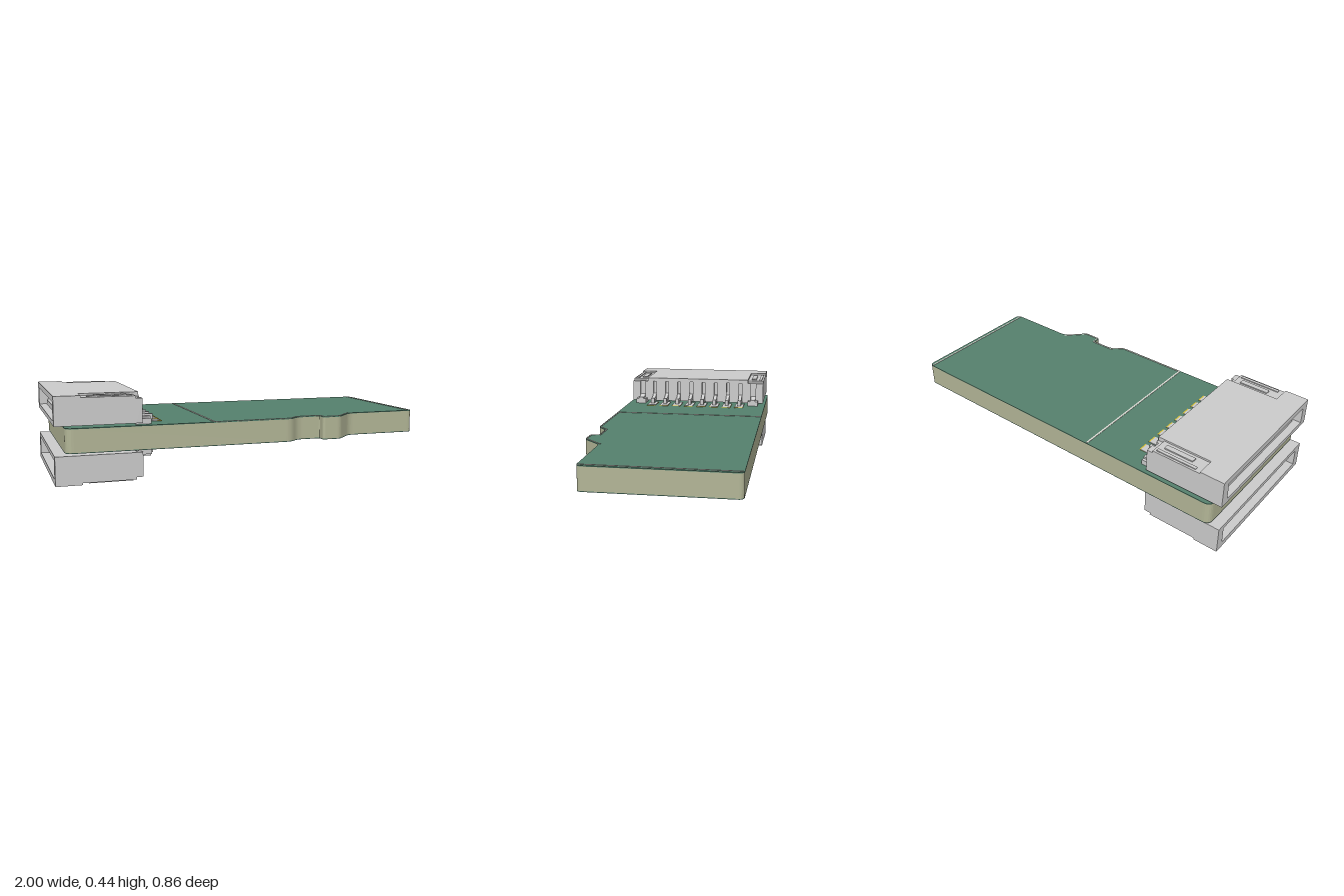
import * as THREE from 'three';

const mat = (color) => new THREE.MeshStandardMaterial({ color });
const GREY = mat(0xcccccc), CORE = mat(0xb2b596), MASK = mat(0x55806d);
const INK = mat(0xdcdcd4), GOLD = mat(0xd8c030);
const PIN_Z = Array.from({ length: 8 }, (_, i) => (i - 3.5) * 0.0783);

// box given by its minimum and maximum on each axis
function box(parent, name, x0, x1, y0, y1, z0, z1, material = GREY) {
  const mesh = new THREE.Mesh(new THREE.BoxGeometry(x1 - x0, y1 - y0, z1 - z0), material);
  mesh.position.set((x0 + x1) / 2, (y0 + y1) / 2, (z0 + z1) / 2);
  mesh.name = name;
  parent.add(mesh);
  return mesh;
}

// polygon of [x, z, corner radius] points, rounded at the corners
function roundedShape(points) {
  const shape = new THREE.Shape();
  points.forEach(([x, z, r], i) => {
    const n = points.length;
    const p = new THREE.Vector2(x, -z);
    const toward = (q) => new THREE.Vector2(q[0], -q[1]).sub(p).setLength(r).add(p);
    const a = toward(points[(i + n - 1) % n]), b = toward(points[(i + 1) % n]);
    if (i === 0) shape.moveTo(a.x, a.y); else shape.lineTo(a.x, a.y);
    if (r > 0) shape.quadraticCurveTo(p.x, p.y, b.x, b.y);
  });
  shape.closePath();
  return shape;
}

// horizontal plate between two heights
function plate(parent, name, shape, y0, y1, material = GREY) {
  const geo = new THREE.ExtrudeGeometry(shape, { depth: y1 - y0, bevelEnabled: false, curveSegments: 6 });
  geo.rotateX(-Math.PI / 2);
  const mesh = new THREE.Mesh(geo, material);
  mesh.position.y = y0;
  mesh.name = name;
  parent.add(mesh);
}

function createBoard() {
  const board = new THREE.Group();
  board.name = 'circuitBoard';
  const outline = roundedShape([
    [-0.95, -0.43, 0.04], [1, -0.43, 0.03], [1, 0.325, 0.03], [0.6, 0.325, 0.03],
    [0.5, 0.425, 0.02], [0.4, 0.425, 0.015], [0.4, 0.38, 0.008], [0.27, 0.38, 0.03],
    [0.215, 0.43, 0.03], [-0.95, 0.43, 0.04],
  ]);
  plate(board, 'boardCore', outline, 0.162, 0.276, CORE);
  plate(board, 'topMask', outline, 0.276, 0.28, MASK);
  plate(board, 'bottomMask', outline, 0.158, 0.162, MASK);

  // printed lines on the top
  box(board, 'crossLine', -0.208, -0.198, 0.28, 0.282, -0.425, 0.425, INK);
  box(board, 'endLine', 0.974, 0.982, 0.28, 0.282, -0.425, 0.32, INK);
  const edge = [[-0.2, 0.422], [0.21, 0.422], [0.265, 0.372], [0.405, 0.372], [0.408, 0.418], [0.495, 0.418], [0.596, 0.318], [0.98, 0.318]];
  for (let i = 0; i < 6; i++) {
    const [x0, z0] = edge[i], [x1, z1] = edge[i + 1];
    const length = Math.hypot(x1 - x0, z1 - z0);
    const line = box(board, 'edgeLine', 0, length, 0.28, 0.282, -0.003, 0.003, INK);
    line.position.set((x0 + x1) / 2, 0.281, (z0 + z1) / 2);
    line.rotation.y = -Math.atan2(z1 - z0, x1 - x0);
  }

  // contact fingers under the far end
  for (let i = 0; i < 8; i++) {
    const z = -0.35 + i * 0.086;
    const start = i === 2 || i === 4 ? 0.95 : 0.93;
    box(board, 'contactFinger', 0.68, start, 0.1555, 0.158, z - 0.032, z + 0.032);
  }
  return board;
}

// heights here are measured from the mid-plane of the board
function createConnector() {
  const c = new THREE.Group();
  c.name = 'cableConnector';
  const W = 0.416, BOTTOM = 0.0725, TOP = 0.2175;

  // hollow housing, open towards -x
  box(c, 'housingFloor', -1, -0.605, BOTTOM, 0.095, -W, W);
  box(c, 'housingRoof', -1, -0.605, 0.188, 0.208, -W, W);
  box(c, 'housingBack', -0.72, -0.605, 0.095, 0.188, -W, W);
  for (const s of [-1, 1]) {
    const z = [s * 0.37, s * W].sort((a, b) => a - b);
    box(c, 'housingSide', -1, -0.72, 0.095, 0.188, ...z);
  }
  box(c, 'innerShelf', -0.96, -0.72, 0.095, 0.122, -0.35, 0.35);

  // roof cover with recessed corners
  plate(c, 'roofCover', roundedShape([
    [-1, -W, 0], [-0.87, -W, 0], [-0.87, -0.32, 0], [-0.605, -0.32, 0],
    [-0.605, 0.32, 0], [-0.87, 0.32, 0], [-0.87, W, 0], [-1, W, 0],
  ]), 0.208, TOP);
  box(c, 'roofLip', -0.605, -0.572, 0.196, TOP, -0.32, 0.32);

  // front blocks, with slots left for pins and anchors
  const cuts = [-W, -0.37, -0.337, ...PIN_Z, 0.337, 0.37, W];
  for (let i = 0; i < cuts.length - 1; i++) {
    const z0 = cuts[i] + (i > 2 && i < 11 ? 0.01 : 0);
    const z1 = cuts[i + 1] - (i > 1 && i < 10 ? 0.01 : 0);
    const anchorSlot = i === 1 || i === 11;
    box(c, 'frontBlock', -0.605, anchorSlot ? -0.585 : -0.572, BOTTOM, 0.196, z0, z1);
  }

  // bent pins with their solder pads
  const profile = new THREE.Shape([
    [-0.62, 0.118], [-0.565, 0.118], [-0.535, 0.1], [-0.492, 0.1], [-0.492, 0.068],
    [-0.53, 0.066], [-0.555, 0.085], [-0.62, 0.09],
  ].map(([x, y]) => new THREE.Vector2(x, y)));
  const pinGeo = (w) => new THREE.ExtrudeGeometry(profile, { depth: w, bevelEnabled: false }).translate(0, 0, -w / 2);
  const pin = pinGeo(0.02), anchor = pinGeo(0.03);
  for (const z of PIN_Z) {
    const mesh = new THREE.Mesh(pin, GREY);
    mesh.name = 'pin';
    mesh.position.z = z;
    c.add(mesh);
    box(c, 'slotRib', -0.605, -0.59, 0.068, 0.2, z - 0.01, z + 0.01);
    box(c, 'innerContact', -0.93, -0.72, 0.122, 0.132, z - 0.01, z + 0.01);
    box(c, 'padPlating', -0.57, -0.446, 0.0622, 0.064, z - 0.026, z + 0.026, GOLD);
    box(c, 'solderPad', -0.572, -0.454, 0.0622, 0.066, z - 0.026, z + 0.026);
  }

  // anchors at both ends and the raised tabs in the roof recesses
  for (const z of [-0.355, 0.355]) {
    const mesh = new THREE.Mesh(anchor, GREY);
    mesh.name = 'anchor';
    mesh.position.z = z;
    mesh.position.x = -0.03;
    c.add(mesh);
    box(c, 'anchorFoot', -0.6, -0.522, 0.0622, 0.09, z - 0.03, z + 0.03);
    const s = Math.sign(z);
    const rim = [s * 0.405, s * 0.388].sort((a, b) => a - b);
    box(c, 'recessRim', -0.84, -0.62, 0.208, 0.213, ...rim);
    box(c, 'roofTab', -0.8, -0.64, 0.208, 0.2145, z - 0.014, z + 0.014);
  }
  return c;
}

export function createModel() {
  const model = new THREE.Group();
  model.name = 'cardAdapter';
  model.add(createBoard());
  // one connector above the board and one turned over below it
  for (const turn of [0, Math.PI]) {
    const connector = createConnector();
    connector.name = turn ? 'lowerConnector' : 'upperConnector';
    connector.position.y = 0.2175;
    connector.rotation.x = turn;
    model.add(connector);
  }
  return model;
}
